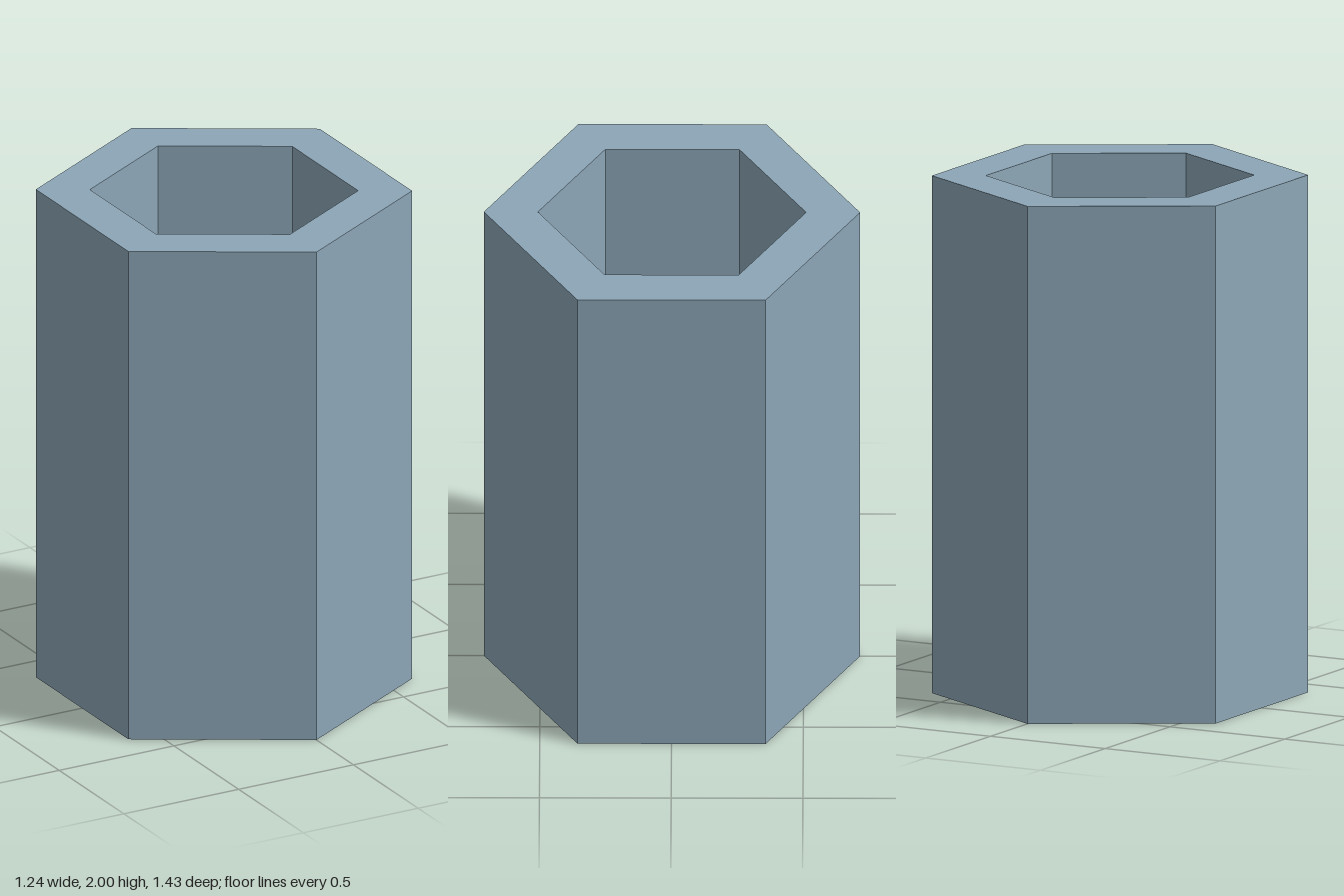
import * as THREE from 'three';

const HEIGHT = 2;
const OUTER = 0.714;
const INNER = 0.509;
const FLOOR = 0.18;
const PAD = 0.04;

export function createModel() {
  const group = new THREE.Group();
  group.name = 'hexagonalCup';

  // Six-sided cup: base, outer wall, rim, inner wall and floor in one closed profile
  const profile = [
    [0, 0], [OUTER, 0], [OUTER, HEIGHT], [INNER, HEIGHT], [INNER, FLOOR], [0, FLOOR],
  ].map(([r, y]) => new THREE.Vector2(r, y));
  const cup = new THREE.Mesh(
    new THREE.LatheGeometry(profile, 6),
    new THREE.MeshStandardMaterial({ color: 0x8ca6b6, flatShading: true })
  );
  cup.name = 'cup';
  group.add(cup);

  // Brown pad filling the bottom of the hollow
  const pad = new THREE.Mesh(
    new THREE.CylinderGeometry(INNER, INNER, PAD, 6),
    new THREE.MeshStandardMaterial({ color: 0x8b5030, flatShading: true })
  );
  pad.name = 'innerPad';
  pad.position.y = FLOOR + PAD / 2;
  group.add(pad);

  return group;
}
